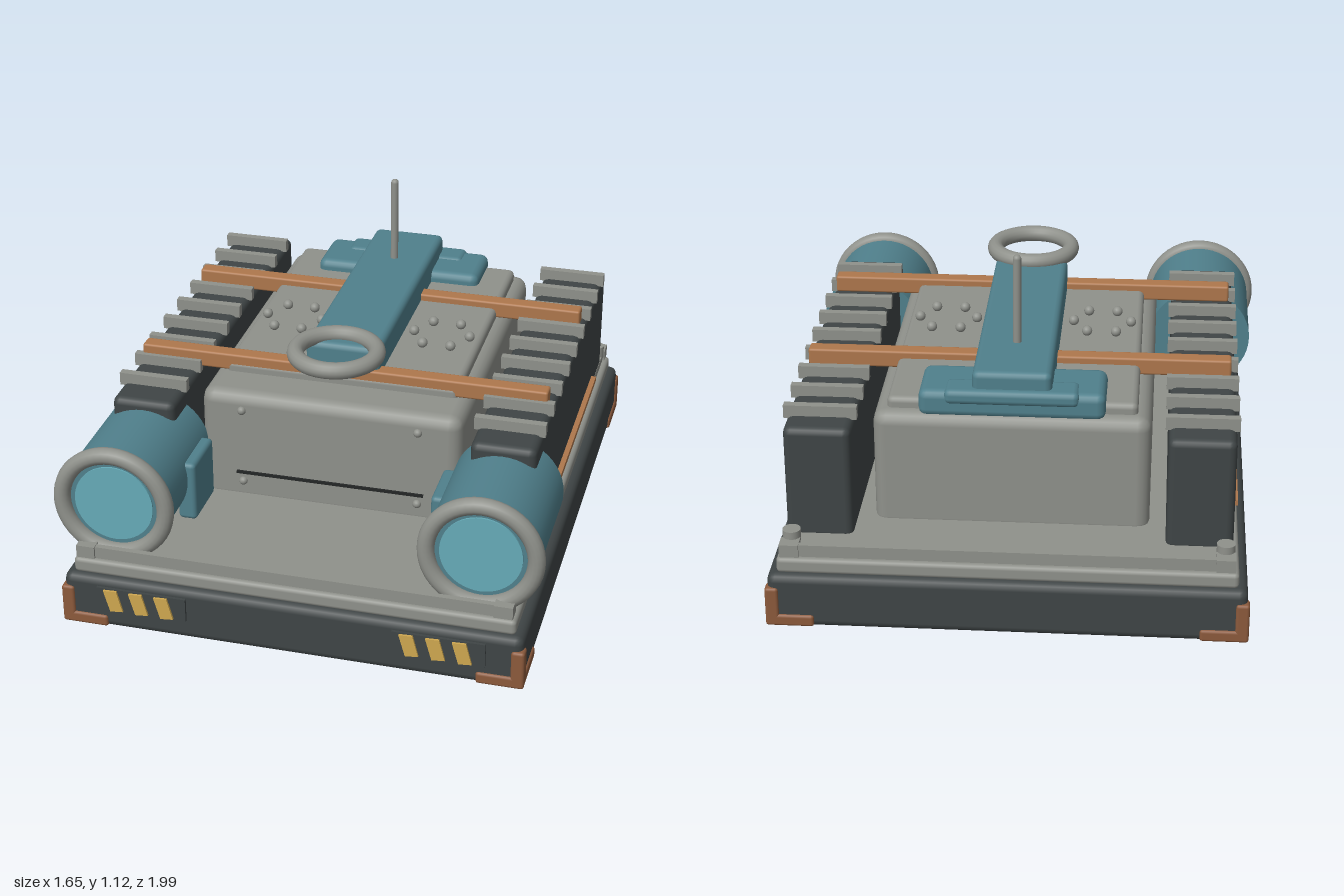
import * as THREE from 'three';
import { RoundedBoxGeometry } from 'three/addons/geometries/RoundedBoxGeometry.js';

const mat = (name, color) => {
  const m = new THREE.MeshStandardMaterial({ color });
  m.name = name;
  return m;
};

export function createModel() {
  const root = new THREE.Group();
  root.name = 'lowVehicle';

  const dark = mat('charcoal', 0x3f4546);
  const black = mat('black', 0x232626);
  const grey = mat('grey', 0x8f918b);
  const teal = mat('teal', 0x50808c);
  const glass = mat('paleTeal', 0x66abb8);
  const copper = mat('copper', 0xae774c);
  const rust = mat('rust', 0x8c5a3c);
  const yellow = mat('yellow', 0xcfa850);

  const add = (name, geo, m, x = 0, y = 0, z = 0) => {
    const mesh = new THREE.Mesh(geo, m);
    mesh.name = name;
    mesh.position.set(x, y, z);
    root.add(mesh);
    return mesh;
  };
  // box given by its limits on each axis, with an optional rounded edge
  const box = (name, m, [x0, x1], [y0, y1], [z0, z1], r = 0) => {
    const w = Math.abs(x1 - x0), h = y1 - y0, d = Math.abs(z1 - z0);
    const geo = r ? new RoundedBoxGeometry(w, h, d, 2, r) : new THREE.BoxGeometry(w, h, d);
    return add(name, geo, m, (x0 + x1) / 2, (y0 + y1) / 2, (z0 + z1) / 2);
  };

  // chassis tray and stepped deck plates
  box('chassis', dark, [-0.78, 0.78], [0.004, 0.195], [-0.99, 0.97], 0.028);
  box('underside', black, [-0.75, 0.75], [0, 0.006], [-0.96, 0.94]);
  box('lowerDeck', grey, [-0.75, 0.75], [0.19, 0.245], [-0.965, 0.945], 0.015);
  box('deckSeam', dark, [-0.72, 0.72], [0.24, 0.255], [-0.945, 0.925]);
  box('upperDeck', grey, [-0.73, 0.73], [0.25, 0.28], [-0.955, 0.935]);
  for (const z of [-0.945, 0.925]) box('deckRail', grey, [-0.68, 0.68], [0.26, 0.292], [z - 0.01, z + 0.01]);

  // central hull with a raised top panel
  box('hull', grey, [-0.455, 0.455], [0.24, 0.668], [-0.735, 0.455], 0.045);
  box('hullTopPanel', grey, [-0.41, 0.41], [0.64, 0.705], [-0.69, 0.3], 0.02);
  box('frontSlit', black, [-0.33, 0.33], [0.36, 0.37], [0.452, 0.462]);

  // spine, rear crosspiece, steering ring and antenna
  box('spine', teal, [-0.13, 0.13], [0.66, 0.81], [-0.705, 0.285], 0.022);
  box('crosspiece', teal, [-0.305, 0.305], [0.65, 0.745], [-0.72, -0.5], 0.028);
  box('crosspieceRidge', teal, [-0.22, 0.22], [0.7, 0.752], [-0.728, -0.62], 0.02);
  add('steeringRing', new THREE.TorusGeometry(0.138, 0.029, 14, 48), grey, 0, 0.82, 0.355).rotation.x = Math.PI / 2;
  add('antenna', new THREE.CapsuleGeometry(0.014, 0.3, 6, 14), grey, 0, 0.957, -0.455);

  // cross bars over the top
  for (const z of [-0.363, 0.27]) box('crossBar', copper, [-0.715, 0.715], [0.67, 0.73], [z - 0.028, z + 0.028], 0.008);

  const studGeo = new THREE.SphereGeometry(0.018, 14, 10);
  const boltGeo = new THREE.SphereGeometry(0.015, 14, 10);
  const drumGeo = new THREE.CylinderGeometry(0.187, 0.187, 0.44, 48).rotateX(Math.PI / 2);
  const lensGeo = new THREE.CylinderGeometry(0.136, 0.136, 0.008, 48).rotateX(Math.PI / 2);
  const rimGeo = new THREE.TorusGeometry(0.18, 0.029, 14, 48);

  // slanted hazard stripe
  const stripe = new THREE.Shape([[-0.033, 0.038], [0.013, 0.04], [0.033, -0.036], [-0.011, -0.04]]
    .map(([x, y]) => new THREE.Vector2(x, y)));
  const stripeGeo = new THREE.ExtrudeGeometry(stripe, { depth: 0.009, bevelEnabled: false });

  for (const s of [1, -1]) {
    // finned side pod
    box('sidePod', dark, [s * 0.51, s * 0.73], [0.26, 0.66], [-0.85, 0.575], 0.025);
    for (let i = 0; i < 9; i++) {
      const z = -0.743 + i * 0.149;
      box('podFin', grey, [s * 0.5, s * 0.74], [0.652, 0.697], [z - 0.014, z + 0.014]);
    }
    box('sideStrip', copper, [s * 0.72, s * 0.748], [0.308, 0.328], [-0.62, 0.44]);

    // headlamp drum, lens, rim and inner bracket
    const x = s * 0.618;
    add('lampDrum', drumGeo, teal, x, 0.44, 0.66);
    add('lampLens', lensGeo, glass, x, 0.44, 0.882);
    add('lampRim', rimGeo, grey, x, 0.44, 0.885);
    box('lampBracket', teal, [s * 0.405, s * 0.47], [0.285, 0.5], [0.48, 0.68], 0.015);

    // bolts on the hull front and studs on its top
    for (const y of [0.33, 0.605]) add('hullBolt', boltGeo, grey, s * 0.308, y, 0.455);
    for (let i = 0; i < 6; i++) {
      const a = i * Math.PI / 3;
      add('topStud', studGeo, grey, s * 0.27 + 0.1 * Math.cos(a), 0.72, -0.065 + 0.1 * Math.sin(a));
    }

    // hazard plate with stripes
    box('hazardPlate', dark, [s * 0.35, s * 0.66], [0.08, 0.165], [0.96, 0.98]);
    for (const i of [-1, 0, 1]) add('hazardStripe', stripeGeo, yellow, s * 0.505 - 0.008 + i * 0.088, 0.122, 0.979);

    for (const [end, f] of [[0.978, 1], [-0.998, -1]]) {
      // corner guards: post and two feet
      const post = [s * 0.742, s * 0.787];
      box('guardPost', rust, post, [0.01, 0.15], [end, end - f * 0.048], 0.01);
      box('guardFrontFoot', rust, [s * 0.628, s * 0.787], [0.01, 0.052], [end, end - f * 0.045], 0.01);
      box('guardSideFoot', rust, post, [0.01, 0.052], [end, end - f * 0.2], 0.01);
      // deck corner blocks
      const z = f > 0 ? 0.915 : -0.935;
      box('cornerBlock', grey, [s * 0.675, s * 0.738], [0.25, 0.294], [z - 0.028, z + 0.028]);
    }
    add('rearDeckBolt', new THREE.CylinderGeometry(0.03, 0.03, 0.05, 20), grey, s * 0.705, 0.295, -0.895);
  }
  return root;
}
